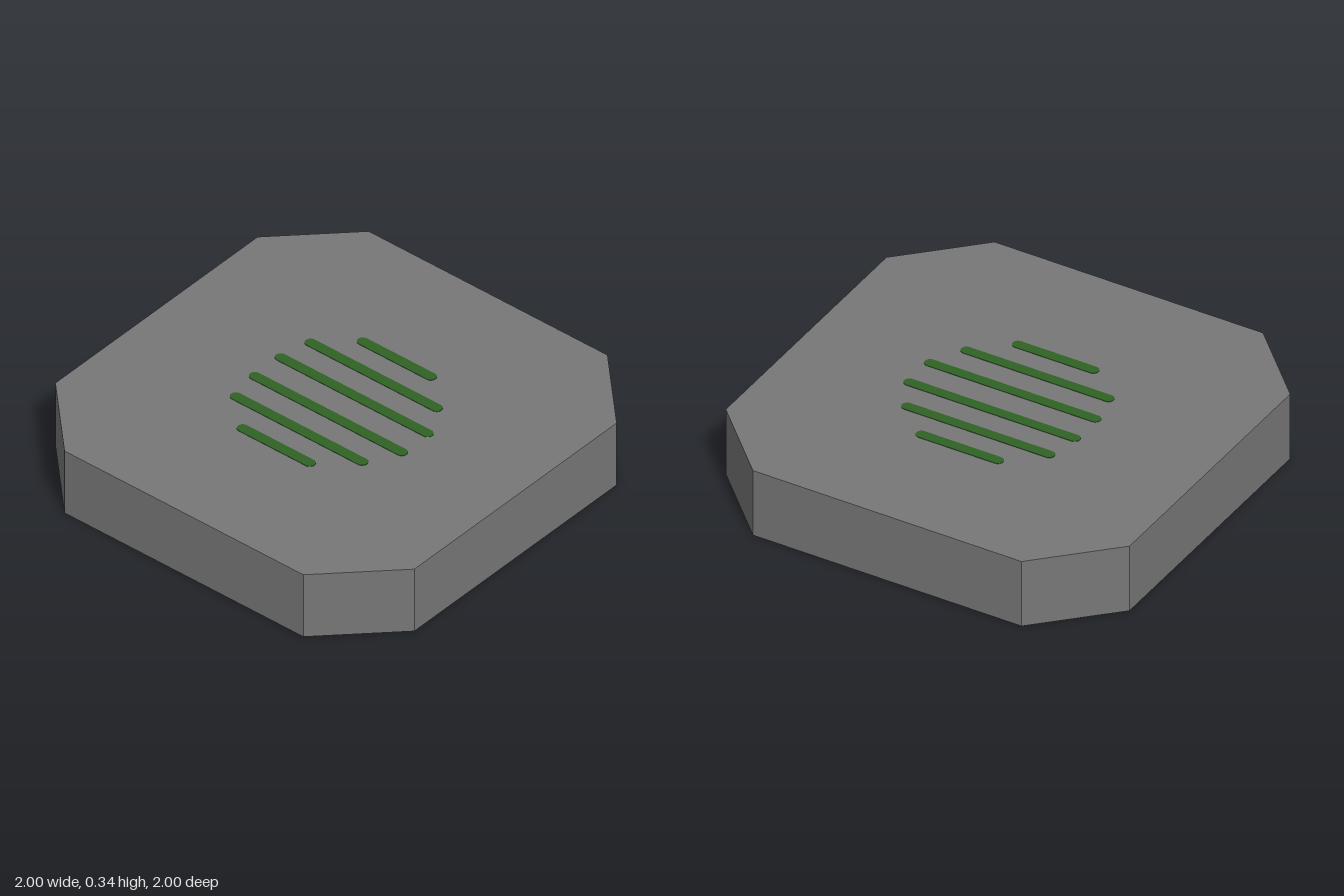
import * as THREE from 'three';

const HEIGHT = 0.333; // top of the shell
const CUT = 0.665;    // where the corner chamfers begin

// Outline of the square with cut corners, counter-clockwise
const OUTLINE = [
  [CUT, -1], [1, -CUT], [1, CUT], [CUT, 1],
  [-CUT, 1], [-1, CUT], [-1, -CUT], [-CUT, -1],
].map(([x, y]) => new THREE.Vector2(x, y));

// Stripes on the top: z, left end, right end
const STRIPES = [
  [-0.40, -0.215, 0.215],
  [-0.25, -0.38, 0.375],
  [-0.09, -0.41, 0.46],
  [0.08, -0.41, 0.46],
  [0.24, -0.38, 0.375],
  [0.39, -0.215, 0.21],
];

// Flat bar with rounded ends, lying in the xz plane
function stripeGeometry(x0, x1, radius, thickness) {
  const shape = new THREE.Shape();
  shape.absarc(x1 - radius, 0, radius, -Math.PI / 2, Math.PI / 2);
  shape.absarc(x0 + radius, 0, radius, Math.PI / 2, Math.PI * 1.5);
  const geometry = new THREE.ExtrudeGeometry(shape, {
    depth: thickness, bevelEnabled: false, curveSegments: 8,
  });
  geometry.translate(0, 0, -thickness / 2);
  return geometry.rotateX(-Math.PI / 2);
}

export function createModel() {
  const model = new THREE.Group();
  model.name = 'stripedPlatform';
  const grey = new THREE.MeshStandardMaterial({ color: 0x777777, side: THREE.DoubleSide });
  grey.name = 'grey';
  const green = new THREE.MeshStandardMaterial({ color: 0x2f6324 });
  green.name = 'green';

  // Top plate
  const top = new THREE.Mesh(new THREE.ShapeGeometry(new THREE.Shape(OUTLINE)), grey);
  top.name = 'topPlate';
  top.rotation.x = -Math.PI / 2;
  top.position.y = HEIGHT;
  model.add(top);

  // Side walls, open underneath
  const walls = new THREE.Group();
  walls.name = 'sideWalls';
  OUTLINE.forEach((a, i) => {
    const b = OUTLINE[(i + 1) % OUTLINE.length];
    const wall = new THREE.Mesh(new THREE.PlaneGeometry(a.distanceTo(b), HEIGHT), grey);
    wall.name = 'wall';
    wall.position.set((a.x + b.x) / 2, HEIGHT / 2, (a.y + b.y) / 2);
    wall.rotation.y = Math.atan2(a.x + b.x, a.y + b.y);
    walls.add(wall);
  });
  model.add(walls);

  // Painted stripes, showing above and below the top plate
  const stripes = new THREE.Group();
  stripes.name = 'stripes';
  for (const [z, x0, x1] of STRIPES) {
    const stripe = new THREE.Mesh(stripeGeometry(x0, x1, 0.026, 0.004), green);
    stripe.name = 'stripe';
    stripe.position.set(0, HEIGHT, z);
    stripes.add(stripe);
  }
  model.add(stripes);

  return model;
}
